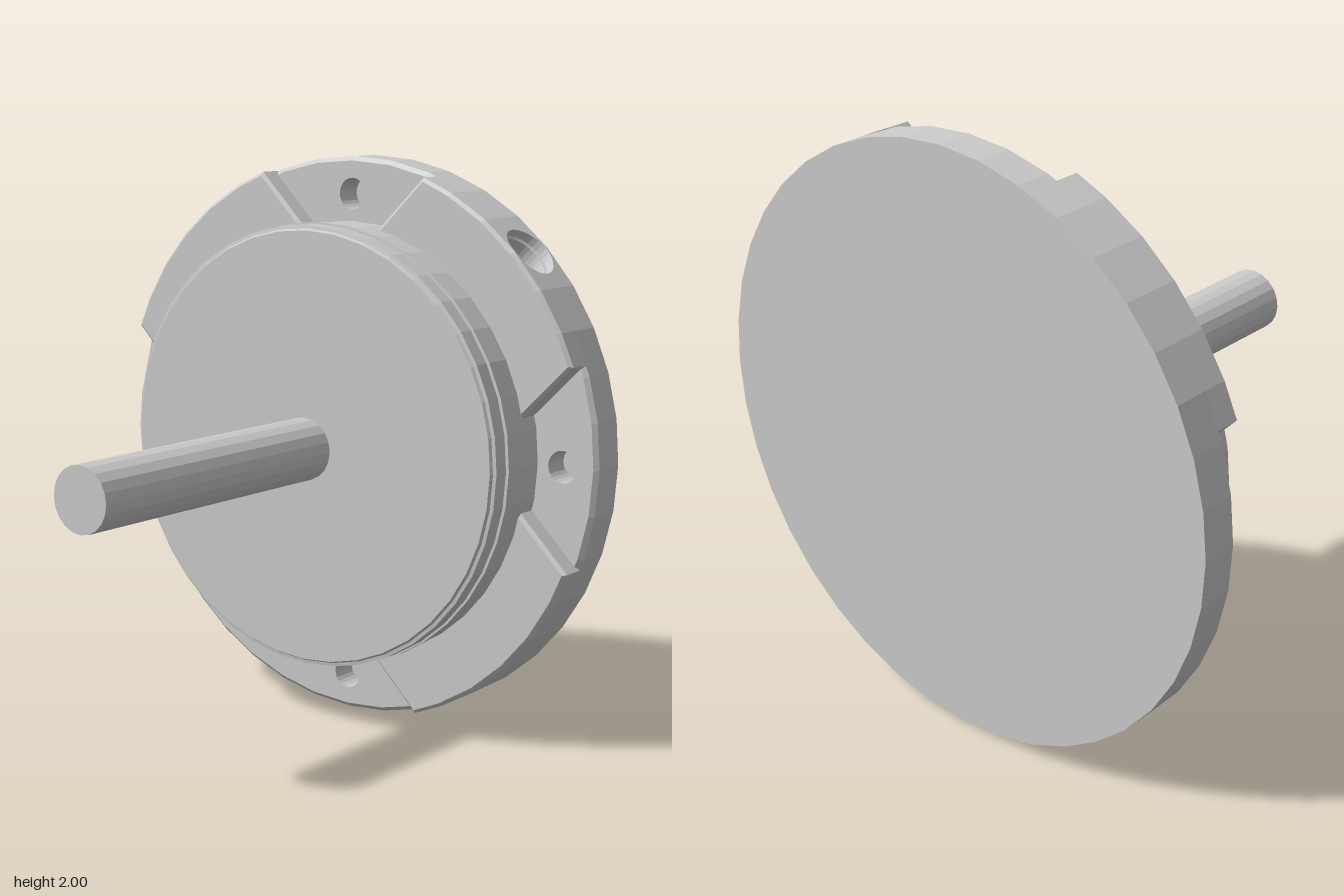
import * as THREE from 'three';

const STEP = Math.PI / 20; // one facet of the 40-sided rim
const BACK = -0.77, FLOOR = -0.63, PAD = -0.55, BEVEL = 0.012;
const PAD_HALF = 0.42, BORE_Z = -0.665, BORE_R = 0.098;

const material = new THREE.MeshStandardMaterial({
  color: 0xcccccc, flatShading: true, side: THREE.DoubleSide,
});

const polar = (r, a) => new THREE.Vector2(r * Math.cos(a), r * Math.sin(a));
const lift = (pts, z) => pts.map((p) => new THREE.Vector3(p.x, p.y, z));

// Surface running through a list of rings with equal point counts
function skin(rings) {
  const pos = [];
  for (let k = 0; k + 1 < rings.length; k++) {
    const a = rings[k], b = rings[k + 1];
    for (let i = 0; i + 1 < a.length; i++) {
      for (const p of [a[i], a[i + 1], b[i + 1], a[i], b[i + 1], b[i]]) pos.push(p.x, p.y, p.z);
    }
  }
  const g = new THREE.BufferGeometry();
  g.setAttribute('position', new THREE.Float32BufferAttribute(pos, 3));
  g.computeVertexNormals();
  return g;
}

// Outline of a parallel-sided pad, from one facet past its middle round to one before it
function padOutline(inset) {
  const r = 1 - inset, h = PAD_HALF - inset, end = Math.asin(h / r);
  const half = [polar(r, STEP), polar(r, 2 * STEP), polar(r, end), new THREE.Vector2(0.6, h)];
  return [...half, ...half.map((p) => new THREE.Vector2(p.x, -p.y)).reverse()];
}

// Point on the faceted rim, near angle 0
function onRim(a, z) {
  const r = Math.cos(STEP / 2) / Math.cos(Math.abs(a) - STEP / 2);
  return new THREE.Vector3(r * Math.cos(a), r * Math.sin(a), z);
}

export function createModel() {
  const model = new THREE.Group();
  // Built with the turning axis along z, then laid along x
  const body = new THREE.Group();
  body.name = 'flangedShaft';
  body.rotation.y = -Math.PI / 2;
  body.position.y = 1;
  model.add(body);

  const add = (name, geometry, parent = body) => {
    const mesh = new THREE.Mesh(geometry, material);
    mesh.name = name;
    parent.add(mesh);
    return mesh;
  };

  // Shaft
  const shaft = new THREE.CylinderGeometry(0.11, 0.11, 1.14, 20);
  shaft.rotateX(Math.PI / 2);
  add('shaft', shaft).position.z = 0.2;

  // Hub with two narrow grooves
  const profile = [
    [0, -0.36], [0.757, -0.36], [0.763, -0.37], [0.775, -0.372], [0.775, -0.43],
    [0.765, -0.431], [0.765, -0.437], [0.781, -0.438], [0.781, -0.459],
    [0.765, -0.46], [0.765, -0.467], [0.775, -0.468], [0.775, FLOOR],
  ].map(([r, z]) => new THREE.Vector2(r, z));
  const hub = new THREE.LatheGeometry(profile, 40);
  hub.rotateX(Math.PI / 2);
  add('hub', hub);

  // Flange back face
  const back = new THREE.CircleGeometry(1, 40);
  back.rotateY(Math.PI);
  add('flangeBack', back).position.z = BACK;

  // Flange rim, left open over two facets for the bore
  const arc = (r) => Array.from({ length: 39 }, (_, i) => polar(r, Math.PI / 4 + STEP * (i + 1)));
  // The full turn has 40 facets, so 38 of them remain
  add('flangeRim', skin([lift(arc(1), BACK), lift(arc(1), FLOOR - 0.015), lift(arc(0.985), FLOOR)]));

  // Recessed flange face with bolt holes, notched to clear the bore
  const face = new THREE.Shape([
    ...arc(0.985), polar(0.78, Math.PI / 4 - STEP), polar(0.78, Math.PI / 4 + STEP),
  ]);
  for (let i = 0; i < 4; i++) {
    const c = polar(0.87, i * Math.PI / 2);
    face.holes.push(new THREE.Path().absarc(c.x, c.y, 0.055, 0, Math.PI * 2, true));

    const wall = new THREE.CylinderGeometry(0.055, 0.055, 0.1, 24, 1, true);
    wall.rotateX(Math.PI / 2);
    add('boltHoleWall', wall).position.set(c.x, c.y, FLOOR - 0.05);
    add('boltHoleFloor', new THREE.CircleGeometry(0.055, 24)).position.set(c.x, c.y, FLOOR - 0.1);
  }
  add('flangeFace', new THREE.ShapeGeometry(face, 12)).position.z = FLOOR;

  // Three raised pads; the first carries the bore
  [45, 135, 315].forEach((deg, index) => {
    const pad = new THREE.Group();
    pad.name = index === 0 ? 'boredPad' : 'pad';
    pad.rotation.z = THREE.MathUtils.degToRad(deg);
    body.add(pad);

    const close = (pts, r) => [...pts, polar(r, 0), pts[0]];
    const outer = padOutline(0), inner = padOutline(BEVEL);
    const side = index === 0 ? outer : close(outer, 1);
    add('padSide', skin([lift(side, FLOOR - 0.018), lift(side, PAD - BEVEL)]), pad);
    add('padBevel', skin([
      lift(close(outer, 1), PAD - BEVEL), lift(close(inner, 1 - BEVEL), PAD),
    ]), pad);
    const top = new THREE.Shape([...inner, polar(1 - BEVEL, 0)]);
    add('padTop', new THREE.ShapeGeometry(top), pad).position.z = PAD;

    if (index > 0) return;

    // Rim patch around the bore, drawn flat as angle by height and then wrapped
    const z1 = PAD - BEVEL;
    const patch = new THREE.Shape([
      [-STEP, BACK], [0, BACK], [STEP, BACK], [STEP, z1], [0, z1], [-STEP, z1],
    ].map(([a, z]) => new THREE.Vector2(a, z)));
    const turns = Array.from({ length: 33 }, (_, i) => i * Math.PI / 16);
    const mouth = turns.map((t) => new THREE.Vector2(
      Math.asin(BORE_R * Math.cos(t)), BORE_Z + BORE_R * Math.sin(t)));
    patch.holes.push(new THREE.Path(mouth.slice(0, 32).reverse()));
    const rim = new THREE.ShapeGeometry(patch);
    const p = rim.attributes.position;
    for (let i = 0; i < p.count; i++) {
      const v = onRim(p.getX(i), p.getY(i));
      p.setXYZ(i, v.x, v.y, v.z);
    }
    rim.computeVertexNormals();
    add('boreRim', rim, pad);

    // Countersunk bore and its end
    const ring = (depth, r) => turns.map((t) => new THREE.Vector3(
      depth, r * Math.cos(t), BORE_Z + r * Math.sin(t)));
    add('bore', skin([
      mouth.map((m) => onRim(m.x, m.y)),
      ring(0.965, 0.095), ring(0.96, 0.085), ring(0.785, 0.085), ring(0.785, 0),
    ]), pad);
  });

  return model;
}
